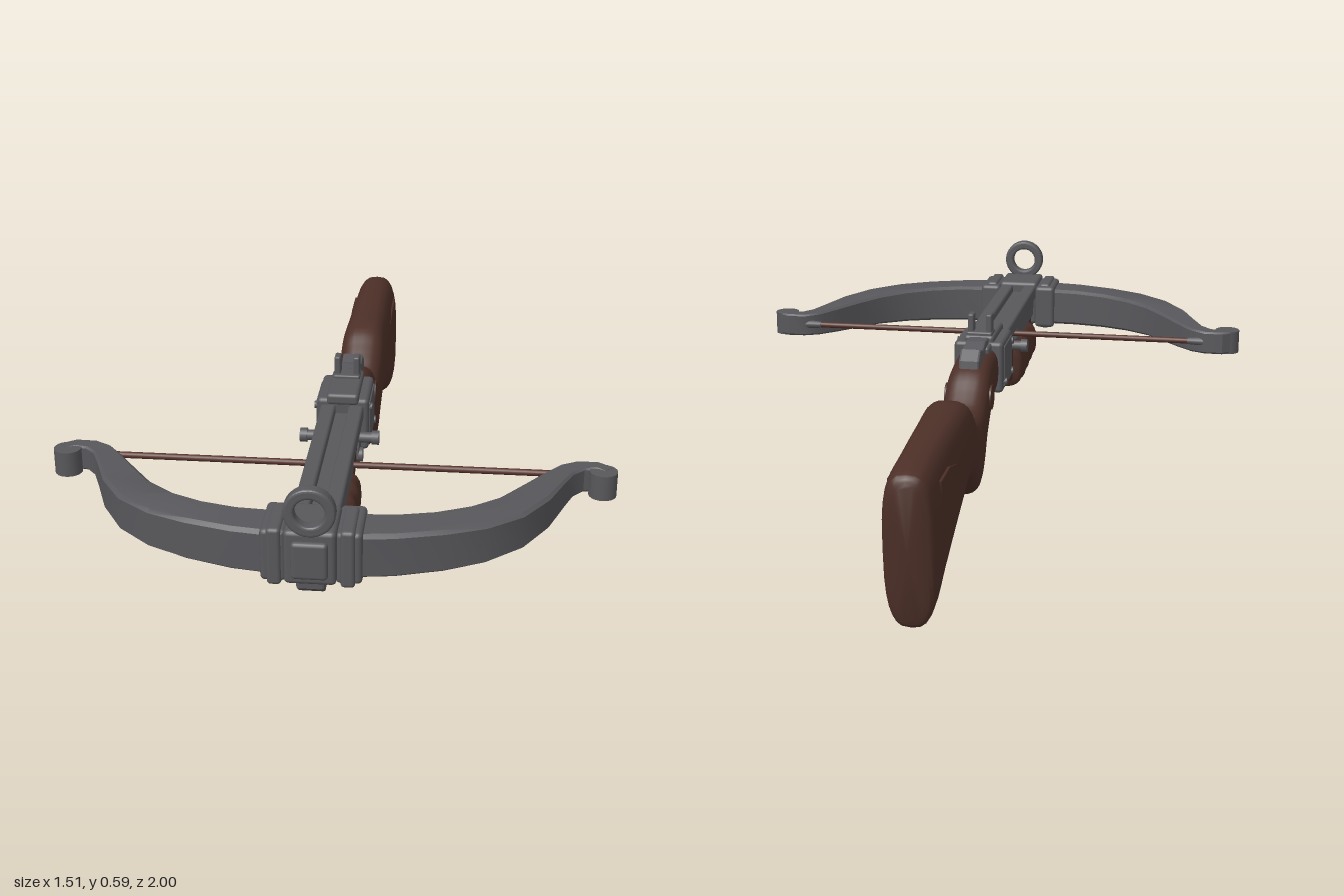
import * as THREE from 'three';
import { toCreasedNormals } from 'three/addons/utils/BufferGeometryUtils.js';
import { RoundedBoxGeometry } from 'three/addons/geometries/RoundedBoxGeometry.js';

// Skin a list of equal-length point rings, with closed ends, always facing outwards.
function loft(rings, crease = 0.7) {
  const n = rings[0].length, pos = [], tris = [];
  rings.forEach(r => r.forEach(p => pos.push(p.x, p.y, p.z)));
  const at = i => new THREE.Vector3().fromArray(pos, i * 3);
  for (let i = 0; i < rings.length - 1; i++) for (let j = 0; j < n; j++) {
    const a = i * n + j, b = i * n + (j + 1) % n;
    tris.push([a, b, a + n], [b, b + n, a + n]);
  }
  [0, rings.length - 1].forEach((r, end) => {
    const c = pos.length / 3, mid = new THREE.Vector3();
    rings[r].forEach(p => mid.addScaledVector(p, 1 / n));
    pos.push(mid.x, mid.y, mid.z);
    for (let j = 0; j < n; j++) {
      const a = r * n + j, b = r * n + (j + 1) % n;
      tris.push(end ? [a, b, c] : [b, a, c]);
    }
  });
  const volume = tris.reduce((v, [a, b, c]) => v + at(a).dot(at(b).cross(at(c))), 0);
  const g = new THREE.BufferGeometry();
  g.setAttribute('position', new THREE.Float32BufferAttribute(pos, 3));
  g.setIndex(tris.flatMap(t => (volume < 0 ? [t[0], t[2], t[1]] : t)));
  return toCreasedNormals(g, crease);
}

// Rounded cross-section between a top and a bottom point on the centre plane.
function roundSection(top, bottom, halfWidth, power = 0.65) {
  return Array.from({ length: 28 }, (_, i) => {
    const a = (i / 28) * Math.PI * 2, c = Math.cos(a), s = Math.sin(a);
    const x = Math.sign(c) * Math.abs(c) ** power * halfWidth;
    const t = (1 + Math.sign(s) * Math.abs(s) ** power) / 2;
    return new THREE.Vector3(x, THREE.MathUtils.lerp(bottom.y, top.y, t), THREE.MathUtils.lerp(bottom.z, top.z, t));
  });
}

// Extrude a side outline given as [z, y] points, centred on x = 0.
function sideExtrude(outline, halfWidth, bevel = 0.006) {
  const shape = outline instanceof THREE.Shape ? outline
    : new THREE.Shape(outline.map(p => new THREE.Vector2(p[0], p[1])));
  const g = new THREE.ExtrudeGeometry(shape, {
    depth: 2 * (halfWidth - bevel), bevelEnabled: bevel > 0, bevelSize: bevel, bevelThickness: bevel,
    bevelOffset: -bevel, bevelSegments: 2, curveSegments: 24,
  });
  return g.translate(0, 0, bevel - halfWidth).rotateY(-Math.PI / 2);
}

export function createModel() {
  const root = new THREE.Group();
  root.name = 'crossbow';
  const material = (name, color) => Object.assign(new THREE.MeshStandardMaterial({ color }), { name });
  const steel = material('dark steel', 0x58585c);
  const wood = material('dark wood', 0x4d3028);
  const cord = material('string cord', 0x58332a);

  const add = (name, geometry, mat) => {
    const m = new THREE.Mesh(geometry, mat);
    m.name = name;
    root.add(m);
    return m;
  };
  // Box from its extents: x, y and z ranges.
  const box = (name, [x0, x1], [y0, y1], [z0, z1], mat = steel, r = 0.008) => {
    const g = new RoundedBoxGeometry(x1 - x0, y1 - y0, z1 - z0, 2, r);
    return add(name, g.translate((x0 + x1) / 2, (y0 + y1) / 2, (z0 + z1) / 2), mat);
  };
  const rod = (name, r, length, x, y, z, axis, mat = steel) => {
    const g = new THREE.CylinderGeometry(r, r, length, 20);
    if (axis === 'x') g.rotateZ(Math.PI / 2);
    if (axis === 'z') g.rotateX(Math.PI / 2);
    return add(name, g.translate(x, y, z), mat);
  };

  // Shoulder stock with pistol grip: top z, top y, bottom z, bottom y, half width.
  const stations = [
    [0.04, 0.47, 0.04, 0.33, 0.06], [-0.07, 0.465, -0.05, 0.31, 0.062], [-0.14, 0.444, -0.12, 0.275, 0.065],
    [-0.2, 0.395, -0.18, 0.22, 0.065], [-0.25, 0.36, -0.225, 0.14, 0.065], [-0.3, 0.355, -0.265, 0.117, 0.065],
    [-0.345, 0.385, -0.315, 0.144, 0.066], [-0.38, 0.41, -0.36, 0.18, 0.068], [-0.44, 0.447, -0.44, 0.212, 0.07],
    [-0.61, 0.449, -0.61, 0.15, 0.07], [-0.8, 0.442, -0.8, 0.07, 0.07], [-0.95, 0.432, -0.92, 0.018, 0.07],
    [-0.985, 0.422, -0.945, 0.012, 0.062], [-0.997, 0.395, -0.957, 0.035, 0.042],
  ];
  const topLine = new THREE.CatmullRomCurve3(stations.map(s => new THREE.Vector3(s[4], s[1], s[0])));
  const bottomLine = new THREE.CatmullRomCurve3(stations.map(s => new THREE.Vector3(0, s[3], s[2])));
  const stockRings = Array.from({ length: 53 }, (_, i) => {
    const top = topLine.getPoint(i / 52);
    return roundSection(top, bottomLine.getPoint(i / 52), top.x);
  });
  add('stock', loft(stockRings, 0.9), wood);
  add('stockCheekPanel', sideExtrude([[-0.62, 0.22], [-0.8, 0.18], [-0.89, 0.17], [-0.9, 0.25], [-0.87, 0.28],
    [-0.89, 0.38], [-0.78, 0.38], [-0.7, 0.36], [-0.62, 0.34]], 0.069, 0.004), wood);
  rod('stockSideBoss', 0.036, 0.136, 0, 0.365, -0.125, 'x', wood);

  // Wooden fore-end: tapered beam and a ribbed hand grip
  add('foreEndBeam', sideExtrude([[0.95, 0.385], [0.2, 0.385], [0.2, 0.33], [0.26, 0.315], [0.42, 0.255],
    [0.7, 0.26], [0.77, 0.285], [0.84, 0.318], [0.95, 0.322]], 0.045, 0.01), wood);
  const gripRings = Array.from({ length: 45 }, (_, i) => {
    const t = i / 44, z = 0.765 - t * 0.35;
    const wave = Math.cos(t * Math.PI * 9), end = Math.min(1, 0.82 + Math.min(t, 1 - t) * 5);
    const bottom = new THREE.Vector3(0, 0.262 - t * 0.026 + wave * 0.009 + (1 - end) * 0.08, z);
    return roundSection(new THREE.Vector3(0, 0.372, z), bottom, (0.073 - wave * 0.004) * end, 0.6);
  });
  add('foreGrip', loft(gripRings, 0.9), wood);

  // Grooved bolt rail
  for (const s of [-1, 1]) {
    const side = (a, b) => (s > 0 ? [a, b] : [-b, -a]);
    box('railSide', side(0.018, 0.06), [0.43, 0.475], [0.215, 0.96]);
    box('railLowerSide', side(0.03, 0.052), [0.37, 0.435], [0.53, 0.96]);
    box('bowClamp', side(0.06, 0.125), [0.335, 0.475], [0.81, 0.965], steel, 0.012);
    box('clampStrap', side(0.072, 0.108), [0.328, 0.482], [0.83, 0.972], steel, 0.01);
    box('rearSightPost', side(0.018, 0.036), [0.49, 0.563], [0.05, 0.088], steel, 0.005);
    box('receiverSidePlate', side(0.07, 0.077), [0.345, 0.47], [0.05, 0.19], steel, 0.003);
    for (const [y, z] of [[0.36, 0.06], [0.36, 0.18], [0.455, 0.18]]) rod('receiverPin', 0.011, 0.01, s * 0.077, y, z, 'x');
  }
  box('railFloor', [-0.05, 0.05], [0.425, 0.452], [0.22, 0.95]);
  box('railCore', [-0.035, 0.035], [0.37, 0.43], [0.53, 0.95]);
  box('stringCatch', [-0.055, 0.055], [0.375, 0.44], [0.45, 0.535], steel, 0.014);
  box('railNeck', [-0.045, 0.045], [0.37, 0.44], [0.2, 0.31]);
  rod('cockingCrossbar', 0.015, 0.22, 0, 0.41, 0.288, 'x');
  for (const x of [-0.1, 0.1]) rod('crossbarKnob', 0.02, 0.02, x, 0.41, 0.288, 'x');

  // Nose block with ring sight
  box('noseBlock', [-0.064, 0.064], [0.34, 0.485], [0.83, 0.985], steel, 0.012);
  box('noseFrontPlate', [-0.045, 0.045], [0.36, 0.46], [0.96, 0.998], steel, 0.01);
  add('noseUnderLug', sideExtrude([[0.975, 0.36], [0.975, 0.325], [0.95, 0.305], [0.87, 0.32], [0.85, 0.36]], 0.035), steel);
  const ring = new THREE.Shape().absarc(0, 0, 0.064, 0, Math.PI * 2);
  ring.holes.push(new THREE.Path().absarc(0, 0, 0.037, 0, Math.PI * 2, true));
  const ringGeo = new THREE.ExtrudeGeometry(ring, { depth: 0.02, bevelSize: 0.007, bevelThickness: 0.007,
    bevelOffset: -0.007, bevelSegments: 3, curveSegments: 24 });
  add('frontRingSight', ringGeo.translate(0, 0.536, 0.962), steel);

  // Bow limbs: outer x, outer z, inner x, inner z, half height
  const limb = [
    [0.06, 0.96, 0.06, 0.83, 0.06], [0.2, 0.94, 0.2, 0.82, 0.059], [0.32, 0.905, 0.29, 0.795, 0.057],
    [0.42, 0.86, 0.375, 0.75, 0.054], [0.51, 0.785, 0.45, 0.685, 0.05], [0.575, 0.68, 0.51, 0.6, 0.046],
    [0.615, 0.575, 0.56, 0.525, 0.041], [0.64, 0.515, 0.605, 0.465, 0.037], [0.668, 0.485, 0.648, 0.438, 0.035],
    [0.7, 0.478, 0.705, 0.437, 0.035], [0.72, 0.49, 0.745, 0.465, 0.034],
  ];
  // Chamfered rectangle: fraction across the limb, fraction of half height
  const corners = [[0.1, 1], [0.9, 1], [1, 0.85], [1, -0.85], [0.9, -1], [0.1, -1], [0, -0.85], [0, 0.85]];
  for (const s of [-1, 1]) {
    const rings = limb.map(([xo, zo, xi, zi, h]) => corners.map(([u, v]) => new THREE.Vector3(
      s * THREE.MathUtils.lerp(xo, xi, u), 0.404 + v * h, THREE.MathUtils.lerp(zo, zi, u))));
    add('bowLimb', loft(rings, 0.6), steel);
    rod('limbTipCurl', 0.037, 0.07, s * 0.718, 0.402, 0.489, 'y');
    const wrap = new THREE.CylinderGeometry(0.01, 0.016, 0.08, 14).rotateZ(s * Math.PI / 2);
    add('stringLoop', wrap.translate(s * 0.635, 0.405, 0.453), steel);
  }
  rod('bowString', 0.009, 1.27, 0, 0.405, 0.453, 'x', cord);

  // Receiver, sights and hammer
  box('receiver', [-0.073, 0.073], [0.33, 0.485], [0.028, 0.205], steel, 0.012);
  box('receiverTop', [-0.045, 0.045], [0.47, 0.503], [0.035, 0.215], steel, 0.01);
  box('rearSightBase', [-0.038, 0.038], [0.49, 0.512], [0.04, 0.1], steel, 0.005);
  add('receiverFrontLug', sideExtrude([[0.2, 0.4], [0.2, 0.315], [0.24, 0.308], [0.268, 0.33], [0.25, 0.38]], 0.052), steel);
  rod('hingePin', 0.021, 0.122, 0, 0.334, 0.242, 'x');
  add('hammer', sideExtrude([[0.04, 0.44], [0.04, 0.498], [-0.02, 0.5], [-0.06, 0.486], [-0.1, 0.497], [-0.132, 0.47],
    [-0.135, 0.448], [-0.1, 0.44]], 0.03), steel);
  box('tang', [-0.04, 0.04], [0.44, 0.482], [-0.02, 0.05]);

  // Trigger and guard
  const guard = new THREE.Shape().absellipse(0.015, 0.285, 0.096, 0.085, 0, Math.PI * 2);
  guard.holes.push(new THREE.Path().absellipse(0.015, 0.287, 0.07, 0.06, 0, Math.PI * 2, true));
  add('triggerGuard', sideExtrude(guard, 0.022, 0.005), steel);
  add('guardPlate', sideExtrude([[0.13, 0.34], [0.12, 0.315], [-0.08, 0.305], [-0.08, 0.34]], 0.035, 0.004), steel);
  const triggerPath = new THREE.CatmullRomCurve3([[0.325, 0.01], [0.285, 0], [0.255, -0.012], [0.243, -0.002]]
    .map(([y, z]) => new THREE.Vector3(0, y, z)));
  add('trigger', new THREE.TubeGeometry(triggerPath, 14, 0.01, 10), steel);

  return root;
}
